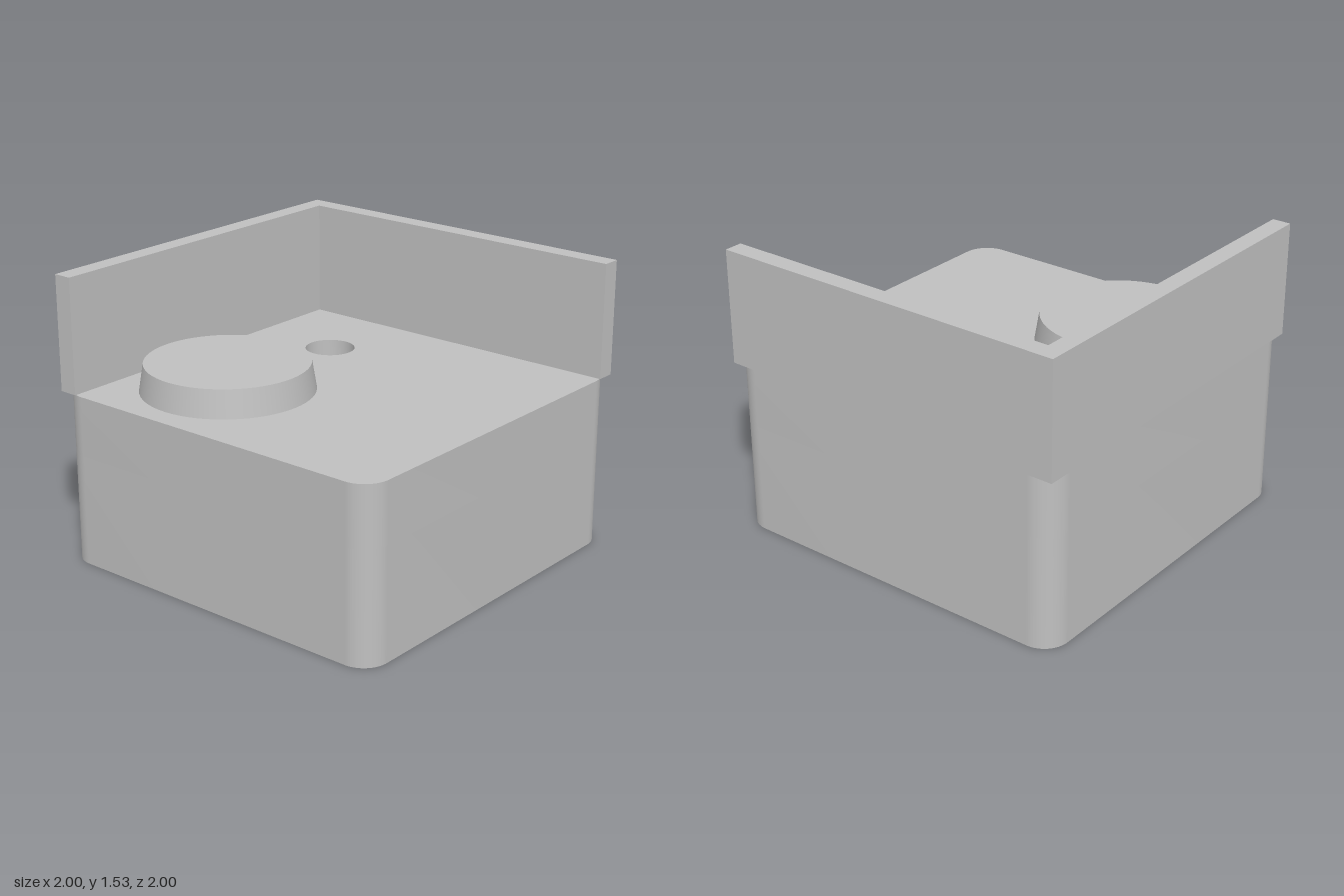
import * as THREE from 'three';
import { toCreasedNormals } from 'three/addons/utils/BufferGeometryUtils.js';

const BODY_TOP = 0.92;
const WALL_TOP = 1.535;
const BORE_DEPTH = 0.6;
const CORNER = 0.14;

// Square footprint with rounded corners; shape y is -z
function roundedSquare() {
  const s = new THREE.Shape();
  const k = 1 - CORNER;
  s.absarc(k, k, CORNER, 0, Math.PI / 2);
  s.absarc(-k, k, CORNER, Math.PI / 2, Math.PI);
  s.absarc(-k, -k, CORNER, Math.PI, Math.PI * 1.5);
  s.absarc(k, -k, CORNER, Math.PI * 1.5, Math.PI * 2);
  s.closePath();
  return s;
}

function addHole(shape, x, z, radius) {
  const hole = new THREE.Path();
  hole.absarc(x, -z, radius, 0, Math.PI * 2, true);
  shape.holes.push(hole);
}

// Extrude a footprint upwards between two heights
function slab(name, shape, bottom, top, material) {
  const extruded = new THREE.ExtrudeGeometry(shape, {
    depth: top - bottom, bevelEnabled: false, curveSegments: 24,
  });
  extruded.rotateX(-Math.PI / 2).translate(0, bottom, 0);
  extruded.clearGroups();
  const mesh = new THREE.Mesh(toCreasedNormals(extruded, 0.5), material);
  mesh.name = name;
  return mesh;
}

export function createModel() {
  const group = new THREE.Group();
  group.name = 'cornerBlock';
  const grey = new THREE.MeshStandardMaterial({ color: 0xc0c0c0 });
  grey.name = 'light grey';

  // Lower block: a blind bore and the wide part of the stepped through-hole
  const lower = roundedSquare();
  addHole(lower, 0.3, 0.28, 0.245);
  addHole(lower, -0.405, -0.405, 0.24);
  group.add(slab('lowerBlock', lower, 0, BORE_DEPTH, grey));

  // Upper block: only the narrow part of the through-hole
  const upper = roundedSquare();
  addHole(upper, -0.405, -0.405, 0.133);
  group.add(slab('upperBlock', upper, BORE_DEPTH, BODY_TOP, grey));

  // L-shaped wall along the back and one side
  const wall = new THREE.Shape([
    [-1, -1], [-0.9, -1], [-0.9, 0.9], [1, 0.9], [1, 1], [-1, 1],
  ].map(([x, y]) => new THREE.Vector2(x, y)));
  group.add(slab('cornerWall', wall, BODY_TOP, WALL_TOP, grey));

  // Tapered round boss on the top face
  const height = 0.147;
  const boss = new THREE.Mesh(new THREE.CylinderGeometry(0.428, 0.452, height, 64), grey);
  boss.name = 'roundBoss';
  boss.position.set(-0.38, BODY_TOP + height / 2, 0.43);
  group.add(boss);

  return group;
}
